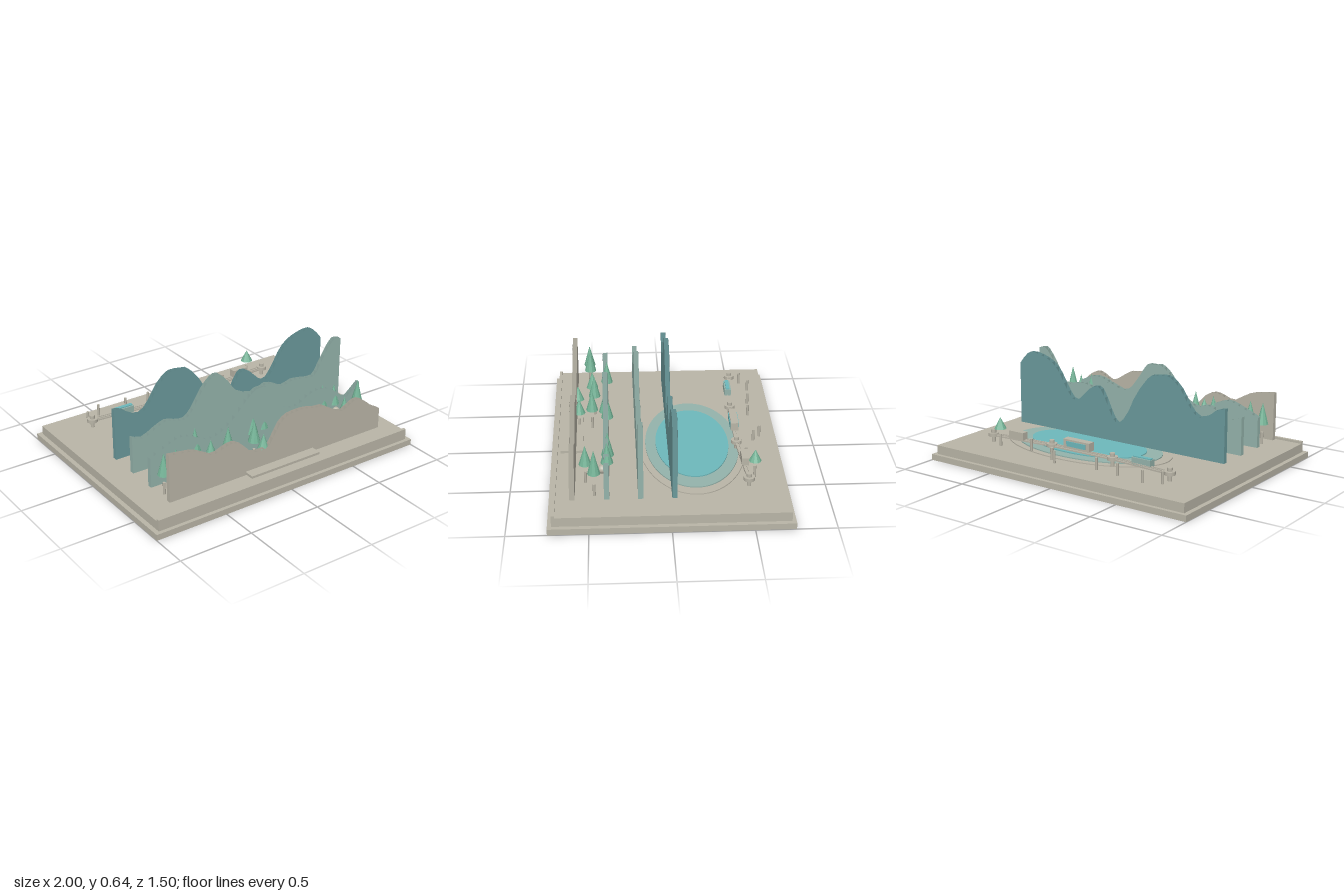
import * as THREE from 'three';

const mat = (name, color, extra = {}) => {
  const m = new THREE.MeshStandardMaterial({ color, ...extra });
  m.name = name;
  return m;
};

export function createModel() {
  const root = new THREE.Group();
  root.name = 'mountainLakeDiorama';
  const stone = mat('stone', 0xb9b5a7);
  const ridgeStone = mat('ridgeStone', 0xb9b5a7, { side: THREE.DoubleSide });
  const paleTeal = mat('paleTeal', 0x94b3ab);
  const ridgePale = mat('ridgePale', 0x94b3ab, { side: THREE.DoubleSide });
  const ridgeDeep = mat('ridgeDeep', 0x6a999b, { side: THREE.DoubleSide });
  const water = mat('water', 0x6db8bb);
  const leaf = mat('leaf', 0x74b497, { flatShading: true });

  const add = (name, geo, material, x, y, z, parent = root) => {
    const mesh = new THREE.Mesh(geo, material);
    mesh.name = name;
    mesh.position.set(x, y, z);
    parent.add(mesh);
    return mesh;
  };
  // Box given by its centre in x and z and its bottom and top
  const box = (name, m, w, d, y0, y1, x, z) =>
    add(name, new THREE.BoxGeometry(w, y1 - y0, d), m, x, (y0 + y1) / 2, z);
  const cyl = (name, m, r, y0, y1, x, z, n = 16) =>
    add(name, new THREE.CylinderGeometry(r, r, y1 - y0, n), m, x, (y0 + y1) / 2, z);

  // Stepped plinth, front lip and plaque
  box('plinthLower', stone, 2, 1.5, 0, 0.04, 0, 0);
  box('plinthUpper', stone, 1.94, 1.45, 0.04, 0.1, 0, 0);
  box('frontLip', stone, 1.94, 0.02, 0.1, 0.115, 0, 0.715);
  box('plaque', stone, 0.53, 0.145, 0.137, 0.153, 0, 0.613);

  // Open-topped hollow ridge: two faces joined by upright ribs
  const ridge = (name, material, z, profile) => {
    const pts = new THREE.SplineCurve(profile.map(p => new THREE.Vector2(...p))).getPoints(44);
    const y0 = 0.128, zf = z + 0.016, zb = z - 0.016, v = [];
    const quad = (a, b, c, d) => v.push(...a, ...b, ...c, ...a, ...c, ...d);
    pts.forEach((p, i) => {
      quad([p.x, y0, zf], [p.x, y0, zb], [p.x, p.y, zb], [p.x, p.y, zf]);
      if (!i) return;
      const q = pts[i - 1];
      quad([q.x, y0, zf], [p.x, y0, zf], [p.x, p.y, zf], [q.x, q.y, zf]);
      quad([p.x, y0, zb], [q.x, y0, zb], [q.x, q.y, zb], [p.x, p.y, zb]);
    });
    const geo = new THREE.BufferGeometry();
    geo.setAttribute('position', new THREE.Float32BufferAttribute(v, 3));
    geo.computeVertexNormals();
    add(name, geo, material, 0, 0, 0);
  };
  ridge('frontRidge', ridgeStone, 0.6, [
    [-0.82, 0.45], [-0.72, 0.435], [-0.64, 0.42], [-0.57, 0.385], [-0.5, 0.35], [-0.42, 0.375],
    [-0.36, 0.385], [-0.3, 0.36], [-0.25, 0.31], [-0.2, 0.27], [-0.1, 0.27], [-0.05, 0.33],
    [0, 0.41], [0.06, 0.45], [0.13, 0.457], [0.2, 0.455], [0.28, 0.435], [0.34, 0.43],
    [0.42, 0.38], [0.5, 0.345], [0.56, 0.375], [0.62, 0.395], [0.68, 0.37], [0.75, 0.31], [0.82, 0.27]]);
  ridge('secondRidge', ridgePale, 0.39, [
    [-0.82, 0.33], [-0.7, 0.38], [-0.6, 0.41], [-0.5, 0.38], [-0.4, 0.33], [-0.3, 0.35],
    [-0.2, 0.42], [-0.1, 0.52], [-0.04, 0.565], [0, 0.57], [0.05, 0.56], [0.12, 0.46],
    [0.2, 0.37], [0.3, 0.36], [0.4, 0.41], [0.5, 0.42], [0.6, 0.38], [0.7, 0.3], [0.76, 0.33], [0.82, 0.38]]);
  ridge('thirdRidge', ridgePale, 0.183, [
    [-0.82, 0.38], [-0.74, 0.35], [-0.65, 0.39], [-0.57, 0.42], [-0.5, 0.4], [-0.43, 0.39],
    [-0.37, 0.44], [-0.3, 0.55], [-0.23, 0.62], [-0.17, 0.63], [-0.1, 0.56], [-0.03, 0.47],
    [0.1, 0.42], [0.2, 0.455], [0.28, 0.43], [0.34, 0.4], [0.42, 0.42], [0.5, 0.41],
    [0.6, 0.4], [0.65, 0.47], [0.72, 0.58], [0.77, 0.63], [0.82, 0.62]]);
  ridge('backRidge', ridgeDeep, -0.024, [
    [-0.82, 0.48], [-0.76, 0.465], [-0.7, 0.42], [-0.62, 0.4], [-0.55, 0.47], [-0.5, 0.55],
    [-0.43, 0.615], [-0.38, 0.63], [-0.3, 0.62], [-0.25, 0.6], [-0.15, 0.47], [-0.08, 0.33],
    [0, 0.25], [0.06, 0.33], [0.12, 0.45], [0.17, 0.48], [0.23, 0.45], [0.3, 0.38], [0.36, 0.36],
    [0.42, 0.43], [0.48, 0.53], [0.54, 0.59], [0.62, 0.625], [0.71, 0.64], [0.76, 0.62], [0.82, 0.55]]);

  // Lake in three stacked ellipses
  [['shore', stone, 0.62, 0.345, 0.11], ['shallows', paleTeal, 0.55, 0.305, 0.117],
    ['deepWater', water, 0.435, 0.238, 0.124]].forEach(([name, m, rx, rz, y]) => {
    const disc = add(name, new THREE.CylinderGeometry(1, 1, 0.007, 64), m, 0.135, y, -0.17);
    disc.scale.set(rx, 1, rz);
  });

  // Trees [x, z, base, top] with posts standing below them
  [[-0.785, 0.5, 0.255, 0.4], [-0.695, 0.495, 0.255, 0.4], [-0.48, 0.38, 0.27, 0.425],
    [-0.43, 0.48, 0.255, 0.37], [-0.29, 0.465, 0.26, 0.41], [-0.29, 0.575, 0.237, 0.335],
    [-0.055, 0.395, 0.265, 0.41], [0.035, 0.38, 0.27, 0.42], [-0.1, 0.48, 0.255, 0.395],
    [-0.09, 0.565, 0.24, 0.34], [0.525, 0.38, 0.27, 0.43], [0.62, 0.385, 0.27, 0.41],
    [0.6, 0.52, 0.25, 0.38], [0.755, 0.465, 0.275, 0.435], [0.58, -0.535, 0.237, 0.315]
  ].forEach(([x, z, y0, y1]) => {
    add('treeCrown', new THREE.ConeGeometry(0.04, y1 - y0, 10), leaf, x, (y0 + y1) / 2, z);
    cyl('treePost', stone, 0.009, 0.12, 0.2, x, z, 8);
  });
  [[-0.71, -0.56], [-0.6, -0.61], [-0.4, -0.59], [-0.23, -0.575], [0.065, -0.62], [0.12, -0.575],
    [0.345, -0.505]].forEach(([x, z]) => cyl('lakePost', stone, 0.009, 0.12, 0.2, x, z, 8));
  add('boulder', new THREE.SphereGeometry(0.028, 14, 10), stone, 0.62, 0.225, 0.415);

  // Lakeside walkway: round towers, linking decks with rails, pavilions
  const towers = [[-0.715, -0.49], [-0.265, -0.455], [0.215, -0.455], [0.68, -0.49]];
  towers.forEach(([x, z], i) => {
    cyl('towerStem', stone, 0.013, 0.12, 0.16, x, z);
    cyl('towerPlatform', stone, 0.035, 0.16, 0.183, x, z, 20);
    cyl('towerCap', stone, 0.017, 0.183, 0.205, x, z);
    if (!i) return;
    const [px, pz] = towers[i - 1];
    const len = Math.hypot(x - px, z - pz), angle = -Math.atan2(z - pz, x - px);
    const deck = new THREE.Group();
    deck.name = 'walkway';
    deck.position.set((x + px) / 2, 0.165, (z + pz) / 2);
    deck.rotation.y = angle;
    root.add(deck);
    add('walkwayDeck', new THREE.BoxGeometry(len, 0.01, 0.024), stone, 0, 0, 0, deck);
    for (const s of [-1, 1])
      add('walkwayRail', new THREE.BoxGeometry(len, 0.006, 0.005), stone, 0, 0.012, s * 0.01, deck);
  });
  box('rightPavilion', paleTeal, 0.14, 0.045, 0.17, 0.215, -0.495, -0.457);
  box('rightPavilionRoof', water, 0.13, 0.025, 0.215, 0.222, -0.495, -0.457);
  box('centrePavilion', stone, 0.205, 0.05, 0.185, 0.24, 0, -0.455);
  for (const z of [-0.482, -0.428])
    box('centrePavilionWindow', water, 0.15, 0.006, 0.195, 0.228, 0, z);
  box('leftPavilion', stone, 0.12, 0.045, 0.175, 0.225, 0.475, -0.482);
  return root;
}
